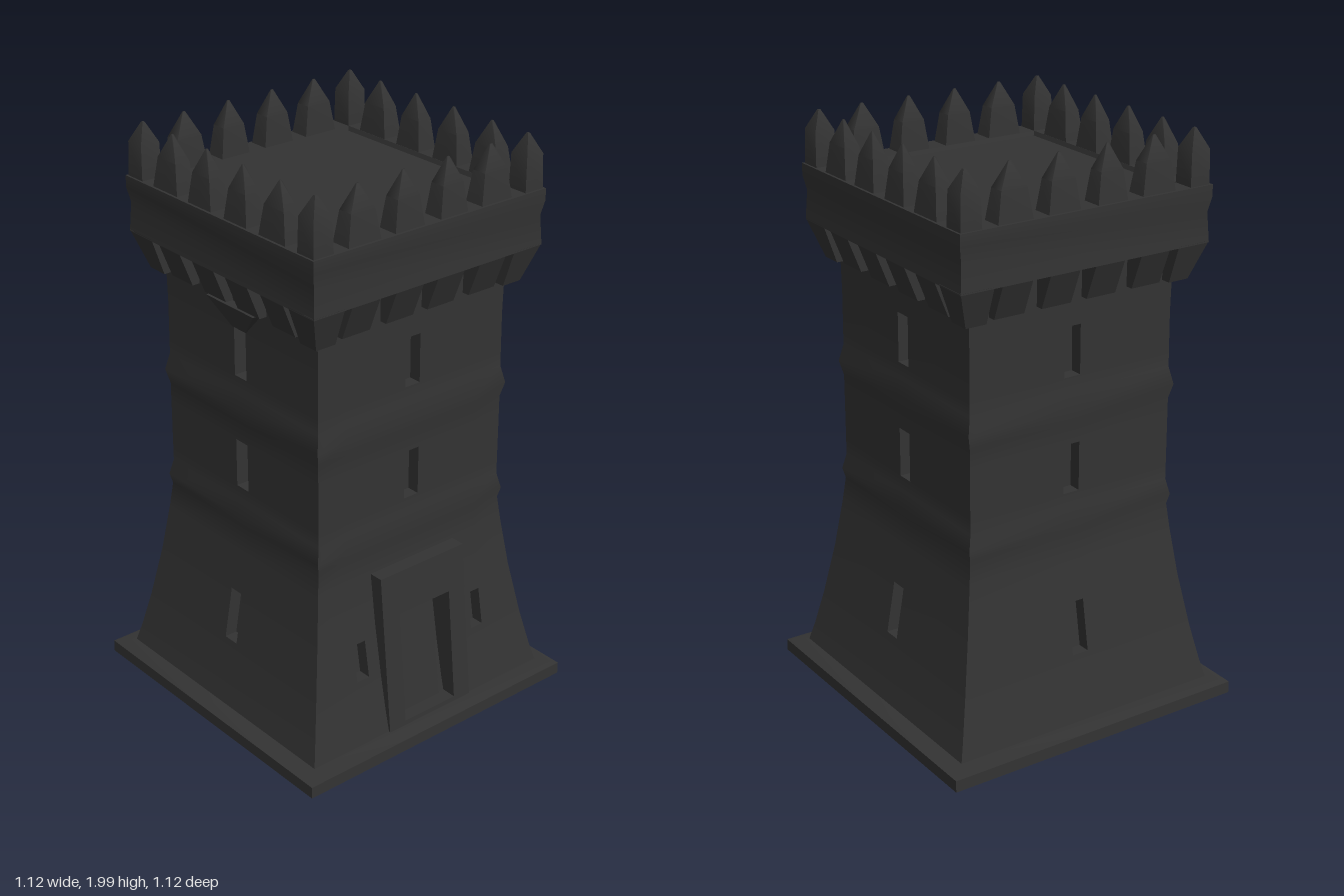
import * as THREE from 'three';
import { toCreasedNormals } from 'three/addons/utils/BufferGeometryUtils.js';

const stone = new THREE.MeshStandardMaterial({ color: 0x333333 });
stone.name = 'dark stone';

function add(parent, name, geometry, x = 0, y = 0, z = 0) {
  const mesh = new THREE.Mesh(geometry, stone);
  mesh.name = name;
  mesh.position.set(x, y, z);
  parent.add(mesh);
  return mesh;
}

// Square solid from [half width, height] pairs, bottom to top
function squareLoft(profile) {
  const points = profile.map(([r, y]) => new THREE.Vector2(r * Math.SQRT2, y));
  return toCreasedNormals(new THREE.LatheGeometry(points, 4, Math.PI / 4), 0.5);
}

// Half width of the tower body against height
const BODY = [[0.505, 0.04], [0.485, 0.12], [0.458, 0.25], [0.425, 0.44], [0.402, 0.61], [0.392, 0.7],
  [0.4, 0.735], [0.388, 0.79], [0.388, 1.08], [0.4, 1.13], [0.387, 1.19], [0.386, 1.38], [0.39, 1.63]];

function halfWidth(y) {
  const i = Math.max(1, BODY.findIndex((p) => p[1] >= y));
  const [r0, y0] = BODY[i - 1], [r1, y1] = BODY[i];
  return r0 + (r1 - r0) * (y - y0) / (y1 - y0);
}

// Openings as [left, right, bottom, top]
const UPPER = [[-0.03, 0.03, 0.84, 1.01], [-0.03, 0.03, 1.24, 1.41]];
const PLAIN = [...UPPER, [-0.03, 0.03, 0.28, 0.46]];
const DOORED = [...UPPER, [-0.11, 0.11, 0.07, 0.47], [-0.28, -0.23, 0.27, 0.4], [0.23, 0.28, 0.27, 0.4]];

// One wall facing +z: a grid of cells, with the cells in openings set back
function wallGeometry(openings) {
  const sorted = (list) => [...new Set(list)].sort((a, b) => a - b);
  const ys = sorted([...BODY.map((p) => p[1]), ...openings.flatMap((o) => [o[2], o[3]])]);
  const xs = [-9, ...sorted(openings.flatMap((o) => [o[0], o[1]])), 9];
  const depth = 0.045, pos = [];
  const recessed = (i, j) => {
    const x = (xs[i] + xs[i + 1]) / 2, y = (ys[j] + ys[j + 1]) / 2;
    return openings.some((o) => x > o[0] && x < o[1] && y > o[2] && y < o[3]);
  };
  const at = (i, j, back) => {
    const h = halfWidth(ys[j]);
    return [THREE.MathUtils.clamp(xs[i], -h, h), ys[j], h - (back ? depth : 0)];
  };
  const quad = (a, b, c, d) => pos.push(...a, ...b, ...c, ...a, ...c, ...d);
  for (let i = 0; i < xs.length - 1; i++) {
    for (let j = 0; j < ys.length - 1; j++) {
      const r = recessed(i, j), I = i + 1, J = j + 1;
      quad(at(i, j, r), at(I, j, r), at(I, J, r), at(i, J, r));
      if (!r) continue;
      // Jambs, sill and lintel
      if (!recessed(i - 1, j)) quad(at(i, j), at(i, j, true), at(i, J, true), at(i, J));
      if (!recessed(I, j)) quad(at(I, j, true), at(I, j), at(I, J), at(I, J, true));
      if (!recessed(i, j - 1)) quad(at(i, j), at(I, j), at(I, j, true), at(i, j, true));
      if (!recessed(i, J)) quad(at(i, J, true), at(I, J, true), at(I, J), at(i, J));
    }
  }
  const geo = new THREE.BufferGeometry();
  geo.setAttribute('position', new THREE.Float32BufferAttribute(pos, 3));
  geo.computeVertexNormals();
  return toCreasedNormals(geo, 0.45);
}

// Bracket: a (z, y) outline extruded across x
function bracketGeometry(width, outline) {
  const shape = new THREE.Shape(outline.map(([z, y]) => new THREE.Vector2(z, y)));
  return new THREE.ExtrudeGeometry(shape, { depth: width, bevelEnabled: false })
    .rotateY(-Math.PI / 2).translate(width / 2, 0, 0);
}

// Corner bracket that flares outwards on both outer sides
function cornerBracketGeometry() {
  const geo = new THREE.BoxGeometry(0.12, 0.13, 0.12).translate(0.408, 1.56, 0.408);
  const p = geo.attributes.position;
  for (let i = 0; i < p.count; i++) {
    if (p.getY(i) > 1.56) continue;
    p.setX(i, Math.min(p.getX(i), 0.423));
    p.setZ(i, Math.min(p.getZ(i), 0.423));
  }
  geo.computeVertexNormals();
  return geo;
}

// Door surround leaning with the battered wall
function doorFrameGeometry() {
  const rect = (T, l, r, b, t) => new T([[l, b], [r, b], [r, t], [l, t]].map((q) => new THREE.Vector2(...q)));
  const shape = rect(THREE.Shape, -0.18, 0.18, 0.045, 0.62);
  shape.holes.push(rect(THREE.Path, -0.11, 0.11, 0.07, 0.47));
  const geo = new THREE.ExtrudeGeometry(shape, { depth: 1, bevelEnabled: false });
  const p = geo.attributes.position;
  for (let i = 0; i < p.count; i++) {
    const front = 0.508 - 0.1 * (p.getY(i) - 0.045);
    p.setZ(i, p.getZ(i) > 0.5 ? front : halfWidth(p.getY(i)) - 0.05);
  }
  geo.computeVertexNormals();
  return geo;
}

export function createModel() {
  const tower = new THREE.Group();
  tower.name = 'tower';

  // Base slab, parapet and roof deck
  add(tower, 'baseSlab', squareLoft([[0, 0], [0.56, 0], [0.56, 0.042], [0.5, 0.055], [0, 0.055]]));
  add(tower, 'parapet', squareLoft([[0.37, 1.62], [0.468, 1.62], [0.462, 1.72], [0.472, 1.77],
    [0.472, 1.81], [0.39, 1.81], [0.385, 1.795], [0, 1.795]]));

  const plainWall = wallGeometry(PLAIN), doorWall = wallGeometry(DOORED);
  const bracket = bracketGeometry(0.11, [[0.37, 1.5], [0.415, 1.5], [0.465, 1.625], [0.37, 1.625]]);
  const cornerBracket = cornerBracketGeometry();
  const spike = squareLoft([[0.5, 1.8], [0.36, 1.91], [0.03, 1.99], [0, 1.99]]);
  const cornerSpike = squareLoft([[0.038, 1.8], [0.035, 1.925], [0.004, 1.99], [0, 1.99]]);
  const spikeWidths = [0.13, 0.12, 0.115, 0.13];

  // Four sides: front, left (with the door), back, right
  ['front', 'left', 'back', 'right'].forEach((label, k) => {
    const side = new THREE.Group();
    side.name = label + 'Side';
    side.rotation.y = k * Math.PI / 2;
    tower.add(side);

    add(side, 'wall', k === 1 ? doorWall : plainWall);
    for (const x of [-0.26, -0.085, 0.085, 0.26]) add(side, 'bracket', bracket, x);
    add(side, 'cornerBracket', cornerBracket);

    // Pointed battlements
    [-0.268, -0.09, 0.09, 0.268].forEach((x, i) => {
      add(side, 'battlement', spike, x, 0, 0.427).scale.set(spikeWidths[i], 1, 0.074);
    });
    add(side, 'cornerBattlement', cornerSpike, 0.427, 0, 0.427);

    if (k === 0) {
      // Flared hood above the top front window
      const hood = bracketGeometry(1, [[0.37, 1.41], [0.39, 1.41], [0.425, 1.5], [0.37, 1.5]]);
      const p = hood.attributes.position;
      for (let i = 0; i < p.count; i++) p.setX(i, p.getX(i) * (p.getY(i) > 1.45 ? 0.24 : 0.07));
      hood.computeVertexNormals();
      add(side, 'windowHood', hood);
    }
    if (k === 1) {
      add(side, 'doorFrame', doorFrameGeometry());
      // Door leaf leaning back into its recess
      const leaf = add(side, 'door', new THREE.BoxGeometry(0.16, 0.37, 0.03), 0, 0.255, 0.42);
      leaf.rotation.x = -0.15;
    }
  });
  return tower;
}
